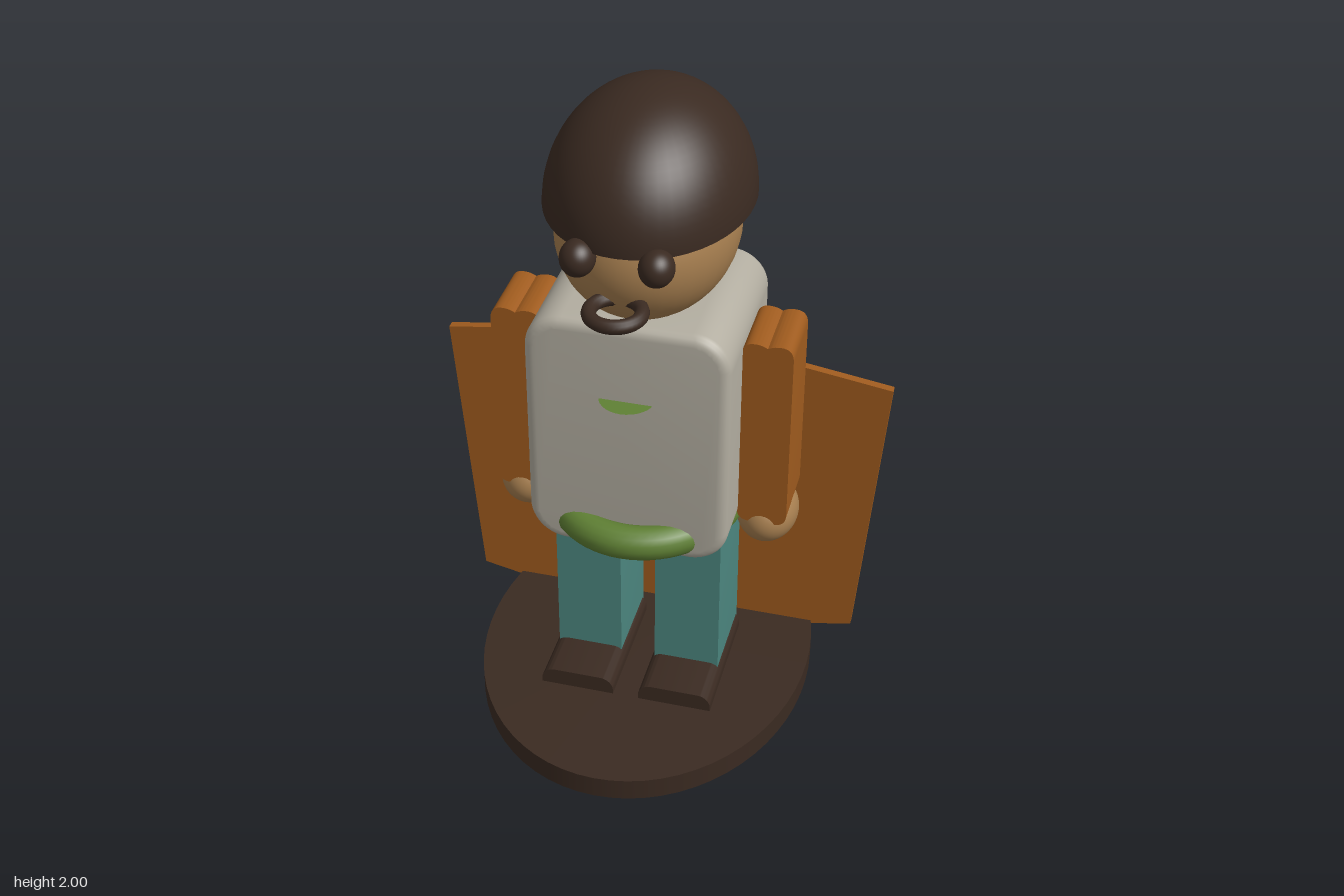
import * as THREE from 'three';
import { toCreasedNormals } from 'three/addons/utils/BufferGeometryUtils.js';

const mat = (name, color, side = THREE.FrontSide) => {
  const m = new THREE.MeshStandardMaterial({ color, side });
  m.name = name;
  return m;
};

// Rounded rectangle outline centred on the origin
function roundedRect(w, h, r) {
  const x = w / 2, y = h / 2, s = new THREE.Shape();
  s.moveTo(-x + r, -y);
  s.lineTo(x - r, -y).absarc(x - r, -y + r, r, -Math.PI / 2, 0);
  s.lineTo(x, y - r).absarc(x - r, y - r, r, 0, Math.PI / 2);
  s.lineTo(-x + r, y).absarc(-x + r, y - r, r, Math.PI / 2, Math.PI);
  s.lineTo(-x, -y + r).absarc(-x + r, -y + r, r, Math.PI, Math.PI * 1.5);
  return s;
}

// Limb outline: straight sides, each end with two soft humps
function limbOutline(w, h) {
  const x = w / 2, y = h / 2, r = w * 0.28, dip = w * 0.07, s = new THREE.Shape();
  s.moveTo(x, -y + r);
  s.lineTo(x, y - r);
  s.quadraticCurveTo(x, y, x / 2, y).quadraticCurveTo(x / 5, y, 0, y - dip);
  s.quadraticCurveTo(-x / 5, y, -x / 2, y).quadraticCurveTo(-x, y, -x, y - r);
  s.lineTo(-x, -y + r);
  s.quadraticCurveTo(-x, -y, -x / 2, -y).quadraticCurveTo(-x / 5, -y, 0, -y + dip);
  s.quadraticCurveTo(x / 5, -y, x / 2, -y).quadraticCurveTo(x, -y, x, -y + r);
  return s;
}

// Extrude along z, centred, with an optional bevel kept inside the depth
function slab(shape, depth, bevel = 0) {
  const g = new THREE.ExtrudeGeometry(shape, {
    depth: depth - 2 * bevel, curveSegments: 8, bevelEnabled: bevel > 0,
    bevelThickness: bevel, bevelSize: bevel, bevelSegments: 4,
  });
  g.translate(0, 0, -depth / 2 + bevel);
  return toCreasedNormals(g, 0.6);
}

// Unbevelled slab whose back cap uses the second material
function twoToneSlab(shape, depth) {
  const g = slab(shape, depth);
  const back = g.groups[0].count / 2;
  g.clearGroups();
  g.addGroup(0, back, 1);
  g.addGroup(back, g.attributes.position.count - back, 0);
  return g;
}

export function createModel() {
  const model = new THREE.Group();
  model.name = 'figure';

  const darkBrown = mat('dark brown', 0x3a2a21, THREE.DoubleSide);
  const skin = mat('tan skin', 0xa67e4f);
  const stone = mat('pale grey', 0xb2ada0);
  const orange = mat('rust orange', 0x9f5b1e);
  const backBrown = mat('deep brown', 0x6d3f0c);
  const green = mat('moss green', 0x5f8034, THREE.DoubleSide);
  const teal = mat('teal', 0x4c867f);

  const add = (name, geometry, material, x, y, z, sx = 1, sy = 1, sz = 1) => {
    const m = new THREE.Mesh(geometry, material);
    m.name = name;
    m.position.set(x, y, z);
    m.scale.set(sx, sy, sz);
    model.add(m);
  };
  const ball = new THREE.SphereGeometry(1, 40, 28);

  // Oval base
  add('base', new THREE.CylinderGeometry(1, 1, 0.07, 64), darkBrown, 0, 0.08, 0, 0.5, 1, 0.632);

  // Torso, oval belt and chest trim
  add('torso', slab(roundedRect(0.52, 0.7, 0.08), 0.505, 0.03), stone, 0, 1.038, 0);
  add('belt', new THREE.TorusGeometry(0.29, 0.05, 16, 64).rotateX(Math.PI / 2), green,
    0, 0.723, 0, 0.885, 1, 1);
  add('chestTrim', new THREE.CircleGeometry(0.08, 32).rotateX(-Math.PI / 2), green, 0, 1.18, 0.23);

  // Board behind the body
  const board = new THREE.Shape([
    [0, 0.002], [0.6, 0.13], [0.673, 1.03], [0, 1.13], [-0.673, 1.03], [-0.6, 0.13],
  ].map(([x, y]) => new THREE.Vector2(x, y)));
  add('backBoard', twoToneSlab(board, 0.025), [orange, backBrown], 0, 0, -0.21);

  // Paired parts
  const arm = twoToneSlab(limbOutline(0.145, 0.61), 0.2);
  const leg = slab(limbOutline(0.197, 0.72), 0.262);
  const shoe = slab(roundedRect(0.222, 0.11, 0.04), 0.4);
  for (const [side, s] of [['left', 1], ['right', -1]]) {
    add(side + 'Arm', arm, [orange, backBrown], 0.359 * s, 1.021, 0);
    add(side + 'Hand', ball, skin, 0.359 * s, 0.697, 0, 0.09, 0.09, 0.114);
    add(side + 'Leg', leg, teal, 0.151 * s, 0.39, 0);
    add(side + 'Shoe', shoe, darkBrown, 0.15 * s, 0.114, 0.08);
    add(side + 'Eye', ball, darkBrown, 0.105 * s, 1.664, 0.322, 0.048, 0.051, 0.053);
  }

  // Head, hair cap and mouth
  add('head', ball, skin, 0, 1.611, 0, 0.252, 0.25, 0.317);
  add('hair', new THREE.SphereGeometry(1, 48, 20, 0, Math.PI * 2, 0, Math.PI / 2), darkBrown,
    0, 1.685, -0.022, 0.286, 0.315, 0.36);
  add('mouth', new THREE.TorusGeometry(0.07, 0.02, 12, 40).rotateX(Math.PI / 2), darkBrown,
    0, 1.526, 0.342);

  return model;
}
